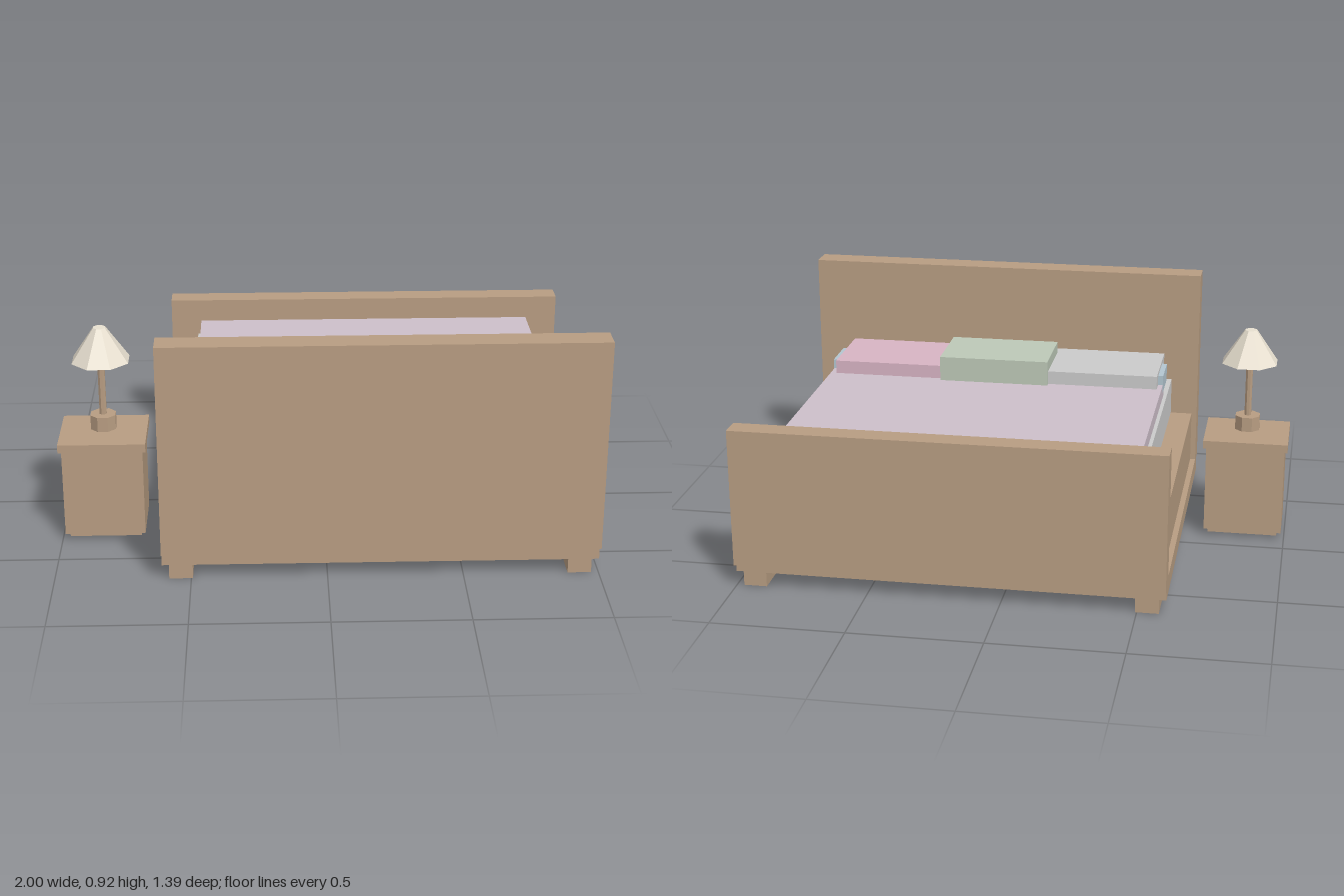
import * as THREE from 'three';

const mat = (color) => new THREE.MeshStandardMaterial({ color, flatShading: true });

export function createModel() {
  const wood = mat(0xb89d82), linen = mat(0xd7d7d3), lavender = mat(0xcdbfca), pink = mat(0xd8b4c4);
  const green = mat(0xbdc9b8), blue = mat(0xb3c6d0), shadeCream = mat(0xe8e0d0), brass = mat(0xd9cfa5);
  const model = new THREE.Group();
  const bed = new THREE.Group(), nightstand = new THREE.Group(), lamp = new THREE.Group();
  bed.name = 'bed';
  nightstand.name = 'nightstand';
  lamp.name = 'lamp';
  model.add(bed, nightstand, lamp);

  // Box given by its extents on each axis
  function box(parent, name, material, [x0, x1], [y0, y1], [z0, z1]) {
    const mesh = new THREE.Mesh(new THREE.BoxGeometry(x1 - x0, y1 - y0, z1 - z0), material);
    mesh.position.set((x0 + x1) / 2, (y0 + y1) / 2, (z0 + z1) / 2);
    mesh.name = name;
    parent.add(mesh);
  }

  // Bed frame: head at +z, foot at -z
  const width = [-0.607, 1.0], inner = [-0.61, 0.6];
  box(bed, 'headboard', wood, width, [0.113, 0.922], [0.598, 0.697]);
  box(bed, 'footboard', wood, width, [0.09, 0.622], [-0.697, -0.61]);
  box(bed, 'basePlatform', wood, width, [0.055, 0.125], [-0.666, 0.661]);
  for (const side of [-1, 1]) {
    const mid = 0.196;
    const span = (a, b) => [mid + side * a, mid + side * b].sort((p, q) => p - q);
    box(bed, 'runner', wood, span(0.69, 0.777), [0, 0.055], [-0.666, 0.661]);
    box(bed, 'sideRail', wood, span(0.695, 0.782), [0.125, 0.328], inner);
    // Small cushions poking out beyond the pillows
    box(bed, 'smallCushion', blue, span(0.5, 0.682), [0.5, 0.57], [0.345, 0.506]);
  }

  // Bedding
  box(bed, 'mattress', linen, [-0.499, 0.891], [0.125, 0.475], inner);
  box(bed, 'blanket', lavender, [-0.485, 0.876], [0.475, 0.532], [-0.61, 0.385]);
  box(bed, 'pillowRight', linen, [-0.466, 0.085], [0.475, 0.585], [0.285, 0.598]);
  box(bed, 'pillowLeft', pink, [0.305, 0.852], [0.475, 0.585], [0.285, 0.598]);
  box(bed, 'pillowMiddle', green, [-0.027, 0.412], [0.532, 0.63], [0.263, 0.543]);

  // Nightstand
  box(nightstand, 'tableTop', wood, [-1, -0.672], [0.37, 0.402], [0.075, 0.355]);
  box(nightstand, 'cabinet', wood, [-0.988, -0.684], [0.027, 0.37], [0.087, 0.343]);
  box(nightstand, 'plinth', wood, [-0.971, -0.7], [0.01, 0.027], [0.102, 0.328]);

  // Eight-sided lamp parts, sized across the flats
  function octagon(name, material, top, bottom, y0, y1) {
    const k = 1 / Math.cos(Math.PI / 8);
    const geo = new THREE.CylinderGeometry(top * k, bottom * k, y1 - y0, 8, 1, false, Math.PI / 8);
    const mesh = new THREE.Mesh(geo, material);
    mesh.position.y = (y0 + y1) / 2;
    mesh.name = name;
    lamp.add(mesh);
  }
  octagon('lampBase', wood, 0.047, 0.047, 0.415, 0.472);
  octagon('lampStem', wood, 0.013, 0.013, 0.472, 0.668);
  octagon('lampSocket', brass, 0.037, 0.037, 0.668, 0.69);
  octagon('lampShade', shadeCream, 0.022, 0.105, 0.69, 0.82);
  lamp.position.set(-0.835, 0, 0.217);

  return model;
}
